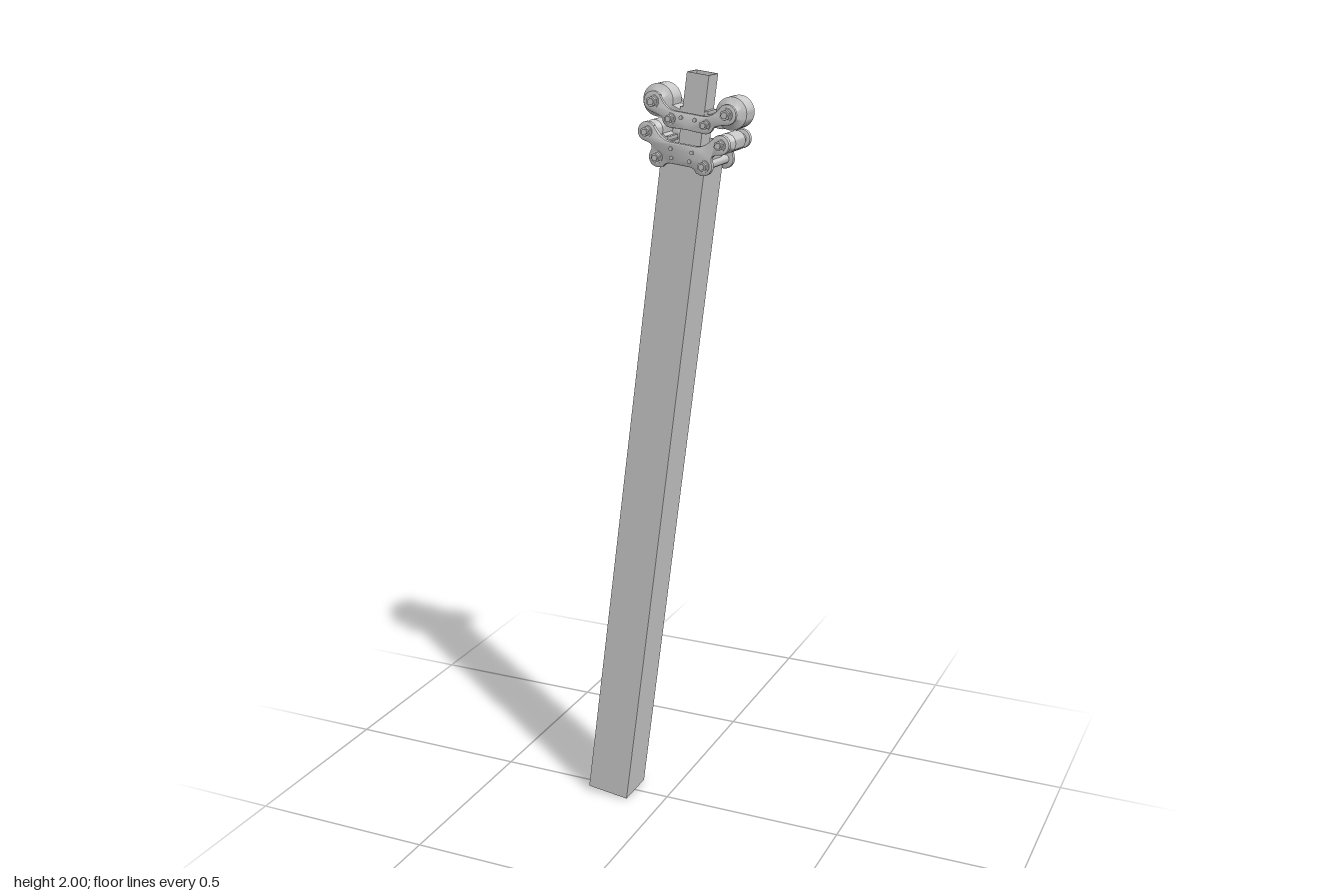
import * as THREE from 'three';
import { toCreasedNormals } from 'three/addons/utils/BufferGeometryUtils.js';

const material = new THREE.MeshStandardMaterial({ color: 0xcccccc, side: THREE.DoubleSide });

function add(parent, name, geometry, x = 0, y = 0, z = 0) {
  const mesh = new THREE.Mesh(toCreasedNormals(geometry, 0.6), material);
  mesh.name = name;
  mesh.position.set(x, y, z);
  parent.add(mesh);
  return mesh;
}

// Thin-walled square tube standing on y = 0
function squareTube(half, wall, length) {
  const square = (Type, h) => {
    const s = new Type();
    s.moveTo(-h, -h);
    s.lineTo(h, -h);
    s.lineTo(h, h);
    s.lineTo(-h, h);
    s.closePath();
    return s;
  };
  const shape = square(THREE.Shape, half);
  shape.holes.push(square(THREE.Path, half - wall));
  return new THREE.ExtrudeGeometry(shape, { depth: length, bevelEnabled: false }).rotateX(-Math.PI / 2);
}

// Lathe around the z axis from [radius, z] pairs
function turned(points, sides = 32) {
  return new THREE.LatheGeometry(points.map(([r, z]) => new THREE.Vector2(r, z)), sides).rotateX(Math.PI / 2);
}

// Mirrored clamp plate: right-hand outline from top centre to bottom centre
function plate(half, depth) {
  const full = [...half, ...half.slice().reverse().map(([x, y]) => [-x, y])];
  const shape = new THREE.Shape(full.map(([x, y]) => new THREE.Vector2(x, y)));
  return new THREE.ExtrudeGeometry(shape, {
    depth: depth - 0.004, bevelEnabled: true, bevelThickness: 0.002, bevelSize: 0.002, bevelSegments: 2,
  }).translate(0, 0, -(depth - 0.004) / 2);
}

// Points clockwise round an ear, angles in degrees
function ear(x, y, r, from, to, n = 12) {
  return Array.from({ length: n + 1 }, (_, i) => {
    const a = THREE.MathUtils.degToRad(from + (to - from) * i / n);
    return [x + r * Math.cos(a), y + r * Math.sin(a)];
  });
}

// Soft line between two points, pulled towards a control point
function bend(a, c, b) {
  const v = p => new THREE.Vector2(...p);
  return new THREE.QuadraticBezierCurve(v(a), v(c), v(b)).getPoints(8).map(p => [p.x, p.y]);
}

// Through bolt: round head at the back, hex nut and rod tip at the front
function bolt(parent, x, y, face, r = 0.012) {
  const group = new THREE.Group();
  group.name = 'bolt';
  group.position.set(x, y, 0);
  parent.add(group);
  const around = (name, radius, sides, z0, z1) => add(group, name,
    new THREE.CylinderGeometry(radius, radius, z1 - z0, sides).rotateX(Math.PI / 2), 0, 0, (z0 + z1) / 2);
  around('boltShank', r * 0.6, 20, -face, face + 0.016);
  around('frontWasher', r * 1.25, 24, face, face + 0.003);
  around('nut', r, 6, face + 0.003, face + 0.012);
  add(group, 'boltHead', turned([[0, -face - 0.009], [r * 0.7, -face - 0.008],
    [r * 1.05, -face - 0.005], [r * 1.1, -face], [0, -face]], 24));
}

export function createModel() {
  const model = new THREE.Group();
  model.name = 'telescopicPost';

  // Everything is built upright, then leaned over
  const post = new THREE.Group();
  post.name = 'leaningPost';
  post.position.set(-0.158, 0.008, -0.003);
  post.rotation.z = -0.1255;
  model.add(post);

  add(post, 'outerTube', squareTube(0.0585, 0.004, 1.83));
  add(post, 'innerTube', squareTube(0.029, 0.003, 0.403), 0, 1.6, 0);

  const upper = new THREE.Group();
  upper.name = 'upperClamp';
  const lower = new THREE.Group();
  lower.name = 'lowerClamp';
  post.add(upper, lower);

  // Upper plates: two raised ears on a narrow waist
  const upperOutline = [
    [0, 1.908], ...bend([0.035, 1.908], [0.065, 1.908], [0.083, 1.941]),
    ...ear(0.097, 1.923, 0.023, 128, -80),
    ...bend([0.09, 1.898], [0.07, 1.893], [0.067, 1.888]),
    ...ear(0.046, 1.89, 0.02, -10, -90, 6),
    [0, 1.872],
  ];
  // Lower plates: raised ears above two feet
  const lowerOutline = [
    [0, 1.836], ...bend([0.035, 1.836], [0.062, 1.838], [0.082, 1.868]),
    ...ear(0.097, 1.852, 0.022, 133, -85),
    ...bend([0.092, 1.829], [0.072, 1.824], [0.079, 1.808]),
    ...ear(0.06, 1.795, 0.022, 30, -120),
    ...bend([0.046, 1.776], [0.038, 1.788], [0.025, 1.788]),
    [0, 1.788],
  ];
  for (const side of [-1, 1]) {
    add(upper, 'upperPlate', plate(upperOutline, 0.011), 0, 0, side * 0.053);
    add(lower, 'lowerPlate', plate(lowerOutline, 0.014), 0, 0, side * 0.069);

    // Large barrel with stepped hubs and a tongue reaching the inner tube
    const barrel = [[0, -0.048], [0.016, -0.048], [0.016, -0.04], [0.022, -0.033], [0.034, -0.029],
      [0.04, -0.026], [0.04, 0.026], [0.034, 0.029], [0.022, 0.033], [0.016, 0.04], [0.016, 0.048], [0, 0.048]];
    add(upper, 'upperBarrel', turned(barrel), side * 0.097, 1.923, 0);
    const tongue = add(upper, 'upperTongue', new THREE.BoxGeometry(0.058, 0.024, 0.054), side * 0.058, 1.905, 0);
    tongue.rotation.z = side * 0.35;
    add(upper, 'gripPad', new THREE.BoxGeometry(0.008, 0.05, 0.054), side * 0.033, 1.893, 0);
    add(upper, 'spacer', turned([[0, -0.048], [0.012, -0.048], [0.012, 0.048], [0, 0.048]], 20), side * 0.046, 1.89, 0);

    // Smaller barrel with a tongue reaching the outer tube
    const roller = [[0, -0.062], [0.014, -0.062], [0.014, -0.045], [0.021, -0.036],
      [0.024, -0.032], [0.024, 0.032], [0.021, 0.036], [0.014, 0.045], [0.014, 0.062], [0, 0.062]];
    add(lower, 'lowerBarrel', turned(roller), side * 0.097, 1.852, 0);
    const arm = add(lower, 'lowerTongue', new THREE.BoxGeometry(0.045, 0.018, 0.054), side * 0.077, 1.836, 0);
    arm.rotation.z = side * 0.7;
    add(lower, 'sidePad', new THREE.BoxGeometry(0.007, 0.05, 0.06), side * 0.061, 1.815, 0);
    add(lower, 'footSpacer', turned([[0, -0.062], [0.011, -0.062], [0.011, 0.062], [0, 0.062]], 20),
      side * 0.062, 1.795, 0);

    bolt(upper, side * 0.097, 1.923, 0.0585, 0.013);
    bolt(upper, side * 0.046, 1.89, 0.0585, 0.011);
    bolt(lower, side * 0.097, 1.852, 0.076, 0.012);
    bolt(lower, side * 0.062, 1.795, 0.076, 0.012);

    // Small rivets on the plate waists
    for (const z of [-1, 1]) {
      const rivet = () => new THREE.CylinderGeometry(0.005, 0.005, 0.005, 12).rotateX(Math.PI / 2);
      add(upper, 'upperRivet', rivet(), side * 0.018, 1.897, z * 0.06);
      add(lower, 'lowerRivet', rivet(), side * 0.028, 1.822, z * 0.077);
      add(lower, 'lowerRivet', rivet(), side * 0.024, 1.8, z * 0.077);
    }
  }
  return model;
}
